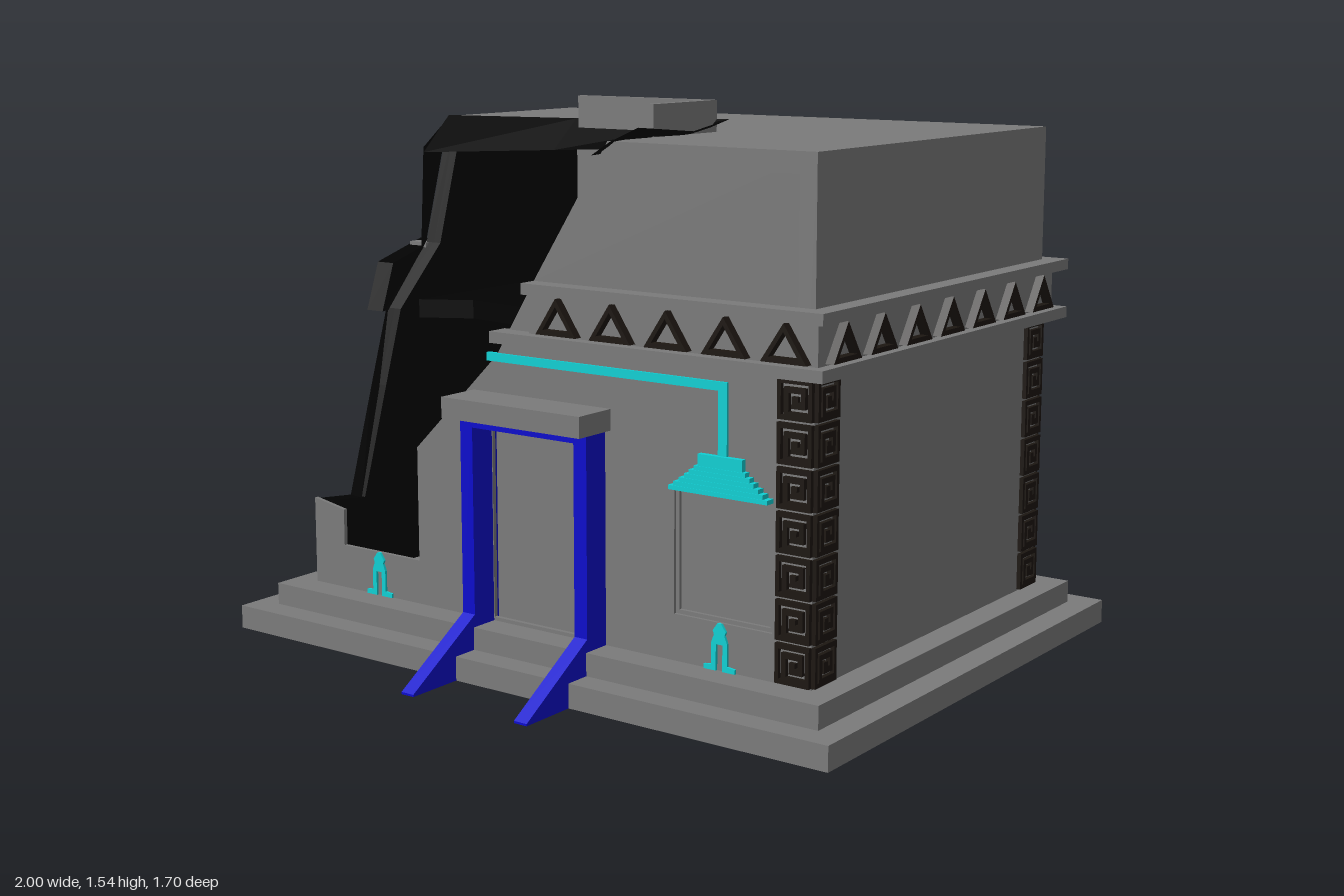
import * as THREE from 'three';

const mat = (color) => new THREE.MeshStandardMaterial({ color, side: THREE.DoubleSide });

export function createModel() {
  const root = new THREE.Group();
  const grey = mat(0x7b7b7b), dark = mat(0x1c1611), black = mat(0x020202);
  const blue = mat(0x0c0ccc), cyan = mat(0x10d0d4);

  const add = (name, geo, m, parent = root) => {
    const mesh = new THREE.Mesh(geo, m);
    mesh.name = name;
    parent.add(mesh);
    return mesh;
  };
  // Box given by its minimum and maximum on each axis
  const box = (name, x0, x1, y0, y1, z0, z1, m = grey, parent = root) =>
    add(name, new THREE.BoxGeometry(x1 - x0, y1 - y0, z1 - z0)
      .translate((x0 + x1) / 2, (y0 + y1) / 2, (z0 + z1) / 2), m, parent);
  const vecs = (pts) => pts.map((p) => new THREE.Vector2(p[0], p[1]));
  const rect = (x0, x1, y0, y1) => [[x0, y0], [x1, y0], [x1, y1], [x0, y1]];
  const extrude = (pts, depth, holes = []) => {
    const s = new THREE.Shape(vecs(pts));
    s.holes = holes.map((h) => new THREE.Path(vecs(h)));
    return new THREE.ExtrudeGeometry(s, { depth, bevelEnabled: false });
  };
  // Outline in (x, z), raised from y0
  const plate = (pts, y0, h, holes = []) => {
    const flip = (a) => a.map(([x, z]) => [x, -z]);
    return extrude(flip(pts), h, holes.map(flip)).rotateX(-Math.PI / 2).translate(0, y0, 0);
  };
  // Outline in (z, y), running from x1 towards -x
  const sidePlate = (pts, x1, w) => extrude(pts, w).rotateY(-Math.PI / 2).translate(x1, 0, 0);
  // Strip between two point rows
  const ribbon = (a, b) => {
    const pos = [], idx = [];
    a.forEach((p, i) => {
      pos.push(...p, ...b[i]);
      const k = i * 2;
      if (i) idx.push(k - 2, k - 1, k, k - 1, k + 1, k);
    });
    let g = new THREE.BufferGeometry();
    g.setAttribute('position', new THREE.Float32BufferAttribute(pos, 3));
    g.setIndex(idx);
    g = g.toNonIndexed();
    g.computeVertexNormals();
    return g;
  };

  // Stepped base, hollow from below: thin sides with a tread on top
  const step = (name, hx, z0, z1, y0, h, tread) => {
    const ring = (t) => [rect(-hx + t, hx - t, z0 + t, z1 - t)];
    add(name + 'Side', plate(rect(-hx, hx, z0, z1), y0, h, ring(0.006)), grey);
    add(name + 'Tread', plate(rect(-hx, hx, z0, z1), y0 + h - 0.008, 0.008, ring(tread)), grey);
  };
  step('lowerStep', 1, -0.85, 0.68, 0, 0.067, 0.079);
  step('upperStep', 0.925, -0.775, 0.605, 0.067, 0.063, 0.08);
  box('floor', -0.846, 0.846, 0.122, 0.13, -0.696, 0.526);

  // Walls; the front and the -x wall are broken away at the upper corner
  box('backWall', -0.85, 0.85, 0.13, 1.455, -0.69, -0.65);
  box('rightWall', 0.8, 0.85, 0.13, 1.455, -0.69, 0.52);
  const frontOutline = [[-0.85, 0.13], [0.85, 0.13], [0.85, 1.455], [0.225, 1.455], [-0.02, 1.08],
    [-0.15, 0.87], [-0.445, 0.58], [-0.445, 0.255], [-0.735, 0.255], [-0.735, 0.36], [-0.85, 0.38]];
  const windowHole = rect(0.435, 0.735, 0.255, 0.59);
  add('frontWall', extrude(frontOutline, 0.012, [windowHole, rect(-0.17, 0.17, 0.14, 0.68)])
    .translate(0, 0, 0.508), grey);
  box('doorPanel', -0.18, 0.18, 0.13, 0.69, 0.482, 0.5);
  add('windowFrame', extrude(rect(0.43, 0.74, 0.25, 0.595), 0.02, [rect(0.446, 0.724, 0.266, 0.58)])
    .translate(0, 0, 0.492), grey);
  box('windowPanel', 0.44, 0.73, 0.26, 0.585, 0.485, 0.503);

  const breakLine = [[0.5, 0.375], [0.37, 0.36], [0.27, 0.68], [0.2, 0.9], [0.02, 1.08], [-0.09, 1.45]];
  add('leftWall', sidePlate([[-0.68, 0.13], [0.505, 0.13], ...breakLine, [-0.68, 1.45]], -0.82, 0.03),
    [grey, black]);
  add('leftWallLining', sidePlate([[-0.66, 0.13], [-0.4, 0.13], [-0.4, 0.118], [0.5, 0.118], ...breakLine,
    [-0.66, 1.45]], -0.795, 0.025), black);
  const inner = [[-0.8, 0.002], [-0.79, 0.02], [-0.785, 0.04], [-0.8, 0.05], [-0.79, 0.09], [-0.82, 0.15]];
  add('leftWallBreak', ribbon(breakLine.map(([z, y]) => [-0.851, y, z + 0.002]),
    breakLine.map(([z, y], i) => [inner[i][0], y - (i === 5 ? 0.08 : 0), z + inner[i][1]])), black);

  // Roof with its ragged edge, and the remaining half of the skylight curb
  add('roof', plate([[-0.85, -0.69], [0.85, -0.69], [0.85, 0.52], [0.225, 0.52], [0.24, 0.045], [-0.85, -0.09]],
    1.40, 0.055), grey);
  const edgeTop = [[-0.85, 1.458, -0.09], [-0.3, 1.47, -0.02], [0.275, 1.49, 0.045], [0.265, 1.465, 0.2],
    [0.27, 1.487, 0.45], [0.26, 1.457, 0.555]];
  const edgeLow = [[-0.82, 1.355, 0.06], [-0.3, 1.385, 0.085], [0.12, 1.41, 0.14], [0.15, 1.415, 0.3],
    [0.18, 1.42, 0.45], [0.2, 1.42, 0.555]];
  add('roofBreak', ribbon(edgeTop, edgeLow), black);
  box('skylightBack', -0.23, 0.23, 1.45, 1.54, 0.04, 0.06);
  box('skylightSide', 0.208, 0.23, 1.45, 1.54, 0.04, 0.33);

  // Remains of the upper floor
  add('upperFloor', plate([[-0.815, -0.65], [0.8, -0.65], [0.8, 0.48], [0.2, 0.48], [0.12, 0.14],
    [-0.65, 0.04], [-0.815, 0.13]], 0.865, 0.055), black);

  // Square spiral tile: a groove cut through a dark square
  const path = [[-0.035, -0.04], [-0.035, 0.034], [0.035, 0.034], [0.035, -0.027],
    [-0.013, -0.027], [-0.013, 0.011], [0.014, 0.011], [0.014, -0.006]];
  const w = 0.0042, dirs = path.slice(1).map((p, i) => [Math.sign(p[0] - path[i][0]), Math.sign(p[1] - path[i][1])]);
  const offset = (s) => path.map((p, i) => {
    const a = dirs[i - 1], b = dirs[i];
    const nx = a && b ? -a[1] - b[1] : -(a || b)[1], ny = a && b ? a[0] + b[0] : (a || b)[0];
    return [p[0] + s * w * nx, p[1] + s * w * ny];
  });
  const tileGeo = extrude(rect(-0.05, 0.05, -0.052, 0.052), 0.012, [[...offset(1), ...offset(-1).reverse()]]);
  const triGeo = extrude([[-0.066, -0.048], [0.066, -0.048], [0, 0.05]], 0.026,
    [[[-0.043, -0.035], [0.043, -0.035], [0, 0.029]]]);

  // Frieze and corner tiles on each side; local +z points outwards
  const sides = [
    { name: 'front', turn: 0, half: 0.85, out: 0.605, from: -0.02, to: 0.9, n: 10, step: 0.175, tiles: [1] },
    { name: 'right', turn: 1, half: 0.605, out: 0.85, from: -0.66, to: 0.66, n: 7, step: 0.176, tiles: [-1, 1] },
    { name: 'back', turn: 2, half: 0.85, out: 0.605, from: -0.9, to: 0.9, n: 10, step: 0.175, tiles: [-1, 1] },
    { name: 'left', turn: -1, half: 0.605, out: 0.85, from: -0.66, to: 0.12, n: 7, step: 0.176, tiles: [-1] },
  ];
  for (const s of sides) {
    const g = new THREE.Group();
    g.name = s.name + 'Ornament';
    g.position.z = -0.085;
    g.rotation.y = s.turn * Math.PI / 2;
    root.add(g);
    const o = s.out, low = s.name === 'front' ? -0.13 : s.from;
    const end = Math.min(s.to, s.half + 0.022), start = Math.max(s.from, -s.half - 0.022);
    box('friezeLowerLedge', low, s.to, 0.912, 0.943, o - 0.01, o + 0.055, grey, g);
    box('friezeUpperLedge', s.from, s.to, 1.05, 1.08, o - 0.01, o + 0.055, grey, g);
    box('friezePanel', start, end, 0.943, 1.05, o - 0.01, o + 0.022, grey, g);
    for (let i = 0; i < s.n; i++) {
      const x = (i - (s.n - 1) / 2) * s.step;
      if (x < s.from || x > s.to) continue;
      add('friezeTriangle', triGeo, dark, g).position.set(x, 0.996, o + 0.02);
    }
    for (const e of s.tiles) for (let i = 0; i < 7; i++)
      add('cornerTile', tileGeo, dark, g).position.set(e * (s.half - 0.05), 0.187 + i * 0.1115, o);
  }
  add('friezeBreak', sidePlate([[-0.02, 1.085], [0.17, 1.03], [0.22, 0.89], [0.03, 0.9]], -0.85, 0.062), black);

  // Door frame with sloping feet, and the lintel
  for (const e of [-1, 1]) {
    box('doorPost', e * 0.193 - 0.021, e * 0.193 + 0.021, 0.165, 0.71, 0.48, 0.6, blue);
    add('doorFoot', sidePlate([[0.48, 0], [0.85, 0], [0.85, 0.006], [0.6, 0.165], [0.48, 0.165]],
      e * 0.193 + 0.021, 0.042), blue);
  }
  box('doorHead', -0.213, 0.213, 0.682, 0.712, 0.48, 0.6, blue);
  box('lintel', -0.233, 0.233, 0.71, 0.767, 0.521, 0.653);

  // Pipe and stepped hood over the window
  box('pipeRun', -0.18, 0.6, 0.853, 0.876, 0.515, 0.527, cyan);
  box('pipeDrop', 0.573, 0.6, 0.68, 0.876, 0.515, 0.527, cyan);
  const hood = [0.15, 0.135, 0.12, 0.105, 0.092, 0.078, 0.067];
  hood.forEach((h, i) => {
    const y = 0.588 + i * 0.0115;
    box('hoodStep', 0.585 - h, 0.585 + h, y, i === 6 ? 0.688 : y + 0.0115, 0.515, 0.548 - i * 0.002, cyan);
  });

  // Small two-legged stands with pointed heads under the windows
  const half = [[0.01, 0.13], [0.048, 0.13], [0.048, 0.142], [0.024, 0.145], [0.024, 0.205],
    [0.016, 0.225], [0.02, 0.235], [0.006, 0.255]];
  const mirrored = half.map(([x, y]) => [-x, y]).reverse();
  const stand = [[0.01, 0.2], ...half, ...mirrored, [-0.01, 0.2]];
  for (const x of [-0.595, 0.58])
    add('windowStand', extrude(stand, 0.01).translate(x, 0, 0.517), cyan);

  return root;
}
